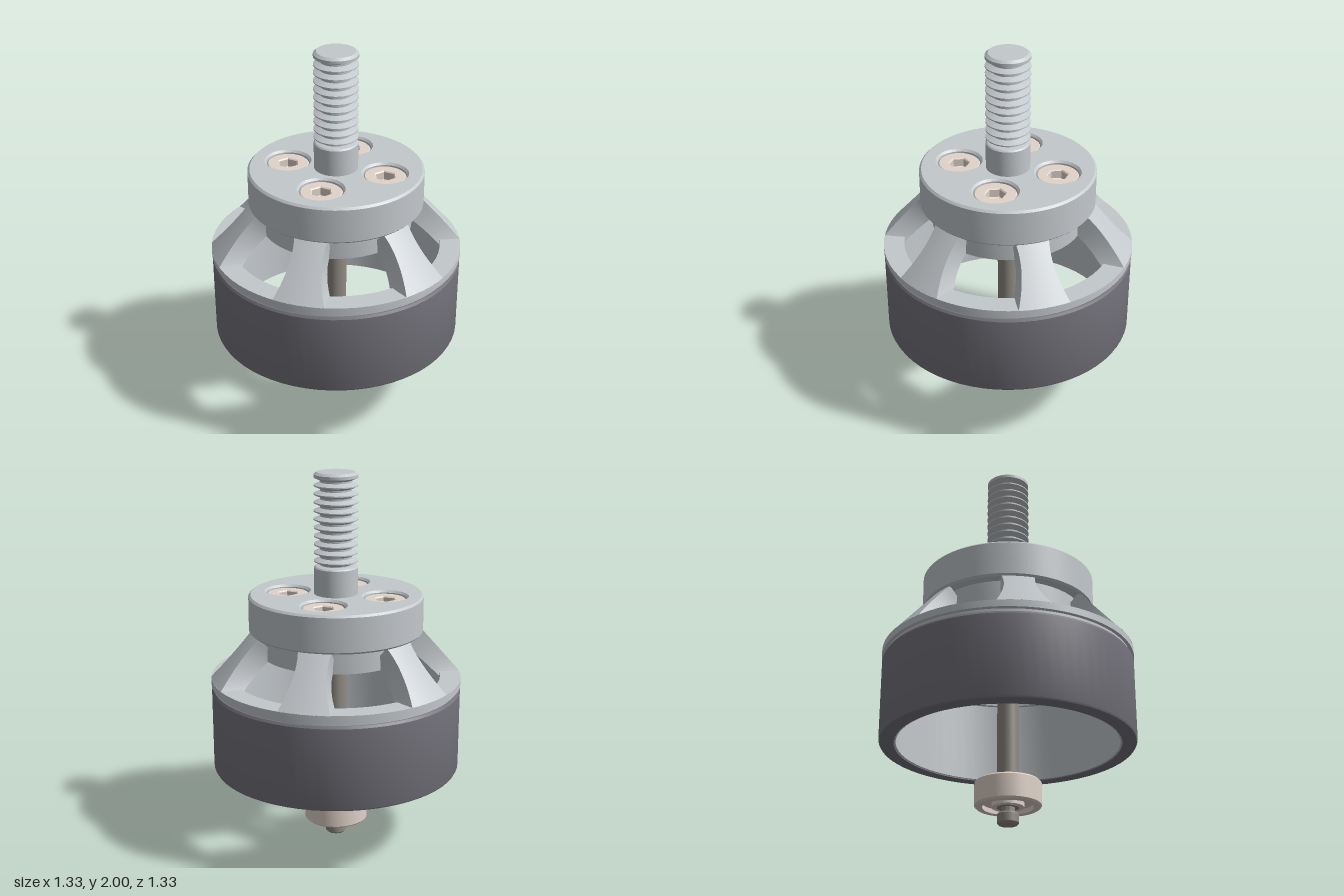
import * as THREE from 'three';
import { toCreasedNormals } from 'three/addons/utils/BufferGeometryUtils.js';

const material = (color) => new THREE.MeshStandardMaterial({ color, side: THREE.DoubleSide });
const alloy = material(0xc3c8cc);
const darkSteel = material(0x77767f);
const cream = material(0xe0d3c9);
const shaftSteel = material(0x8f8a82);

export function createModel() {
  const model = new THREE.Group();

  const add = (name, geometry, mat, parent = model) => {
    const mesh = new THREE.Mesh(toCreasedNormals(geometry, 0.5), mat);
    mesh.name = name;
    parent.add(mesh);
    return mesh;
  };
  // Profiles run counter-clockwise as [radius, height]
  const lathe = (name, profile, mat, segments = 48, parent = model) =>
    add(name, new THREE.LatheGeometry(profile.map(([r, y]) => new THREE.Vector2(r, y)), segments), mat, parent);
  // Upright plate between two heights with chamfered rims
  const plate = (name, shape, y0, y1, bevel, mat, parent = model) => {
    const geometry = new THREE.ExtrudeGeometry(shape, {
      depth: y1 - y0 - 2 * bevel, bevelThickness: bevel, bevelSize: bevel,
      bevelOffset: -bevel, bevelSegments: 1, curveSegments: 40,
    });
    geometry.rotateX(-Math.PI / 2).translate(0, y0 + bevel, 0);
    return add(name, geometry, mat, parent);
  };
  const circle = (x, y, r, Type = THREE.Path) => {
    const path = new Type();
    path.absarc(x, y, r, 0, Math.PI * 2);
    return path;
  };
  const deg = Math.PI / 180;
  const screwSpots = [70, 160, 250, 340].map((a) => [0.263 * Math.cos(a * deg), 0.263 * Math.sin(a * deg)]);

  // Outer can and the light liner inside it
  lathe('can', [
    [0.585, 0.415], [0.65, 0.415], [0.658, 0.418], [0.663, 0.428], [0.663, 0.852],
    [0.655, 0.865], [0.585, 0.865], [0.585, 0.415],
  ], darkSteel, 64);
  lathe('canLiner', [[0.575, 0.42], [0.59, 0.42], [0.59, 0.89], [0.575, 0.89], [0.575, 0.42]], alloy, 64);

  // Bell rim with a narrow neck sitting on the can
  lathe('bellRim', [
    [0.555, 0.86], [0.648, 0.86], [0.648, 0.882], [0.665, 0.885], [0.665, 0.922],
    [0.555, 0.922], [0.555, 0.86],
  ], alloy, 64);

  // Six flared spokes: a box bent so its width follows the arc at each height
  for (let k = 0; k < 6; k++) {
    const geometry = new THREE.BoxGeometry(1, 1, 1, 6, 12, 1);
    const p = geometry.attributes.position;
    for (let i = 0; i < p.count; i++) {
      const t = p.getY(i) + 0.5;
      const outer = p.getZ(i) > 0;
      const r = outer ? THREE.MathUtils.lerp(0.665, 0.445, t) : THREE.MathUtils.lerp(0.555, 0.36, t);
      const y = outer ? THREE.MathUtils.lerp(0.921, 1.172, t) : THREE.MathUtils.lerp(0.9, 1.08, t);
      const halfWidth = 0.072 + 0.063 * (1 - t) ** 2 + 0.015 * t ** 4;
      const angle = (p.getX(i) * 2 * halfWidth) / r;
      p.setXYZ(i, r * Math.sin(angle), y, r * Math.cos(angle));
    }
    add('spoke', geometry, alloy).rotation.y = (100 + 60 * k) * deg;
  }

  // Hub disc with four screw pockets, and the boss closing them from below
  const disc = circle(0, 0, 0.46, THREE.Shape);
  screwSpots.forEach(([x, y]) => disc.holes.push(circle(x, y, 0.112)));
  plate('hubDisc', disc, 1.165, 1.365, 0.011, alloy);
  lathe('hubBoss', [[0, 1.045], [0.4, 1.045], [0.4, 1.18], [0.44, 1.18], [0.44, 1.255], [0, 1.255]], alloy);

  // Socket screws
  screwSpots.forEach(([x, y]) => {
    const screw = new THREE.Group();
    screw.name = 'screw';
    screw.position.set(x, 0, -y);
    const head = circle(0, 0, 0.11, THREE.Shape);
    const socket = [];
    for (let i = 0; i < 6; i++) {
      const a = (90 + 60 * i) * deg;
      socket.push(new THREE.Vector2(0.052 * Math.cos(a), 0.052 * Math.sin(a)));
    }
    head.holes.push(new THREE.Path(socket));
    plate('screwHead', head, 1.25, 1.35, 0.006, cream, screw);
    const floor = new THREE.CylinderGeometry(0.056, 0, 0.03, 6, 1, true).translate(0, 1.29, 0);
    add('socketFloor', floor, cream, screw);
    lathe('screwEnd', [[0, 1.012], [0.045, 1.012], [0.056, 1.02], [0.056, 1.1]], cream, 24, screw);
    model.add(screw);
  });

  // Threaded stud
  const stud = [[0.115, 1.3], [0.115, 1.505], [0.108, 1.512], [0.083, 1.518]];
  const pitch = 0.0435;
  for (let i = 0; i < 11; i++) {
    const y = 1.518 + i * pitch;
    stud.push([0.083, y + 0.005], [0.115, y + 0.019], [0.115, y + 0.025], [0.083, y + 0.039]);
  }
  stud.splice(-1, 1, [0.115, 1.988], [0.1, 2], [0, 2]);
  lathe('threadedStud', stud, alloy, 40);

  // Shaft with a retaining groove near its tip
  lathe('shaft', [
    [0, 0], [0.047, 0], [0.056, 0.009], [0.056, 0.052], [0.05, 0.06], [0.036, 0.06],
    [0.036, 0.088], [0.056, 0.088], [0.056, 1.06],
  ], shaftSteel, 32);

  // Bearing: outer race, recessed shield and inner race
  lathe('bearing', [
    [0.054, 0.09], [0.082, 0.09], [0.082, 0.115], [0.13, 0.115], [0.13, 0.09], [0.162, 0.09],
    [0.171, 0.099], [0.171, 0.215], [0.162, 0.224], [0.13, 0.224], [0.13, 0.2],
    [0.082, 0.2], [0.082, 0.224], [0.054, 0.224], [0.054, 0.09],
  ], cream, 40);

  return model;
}
